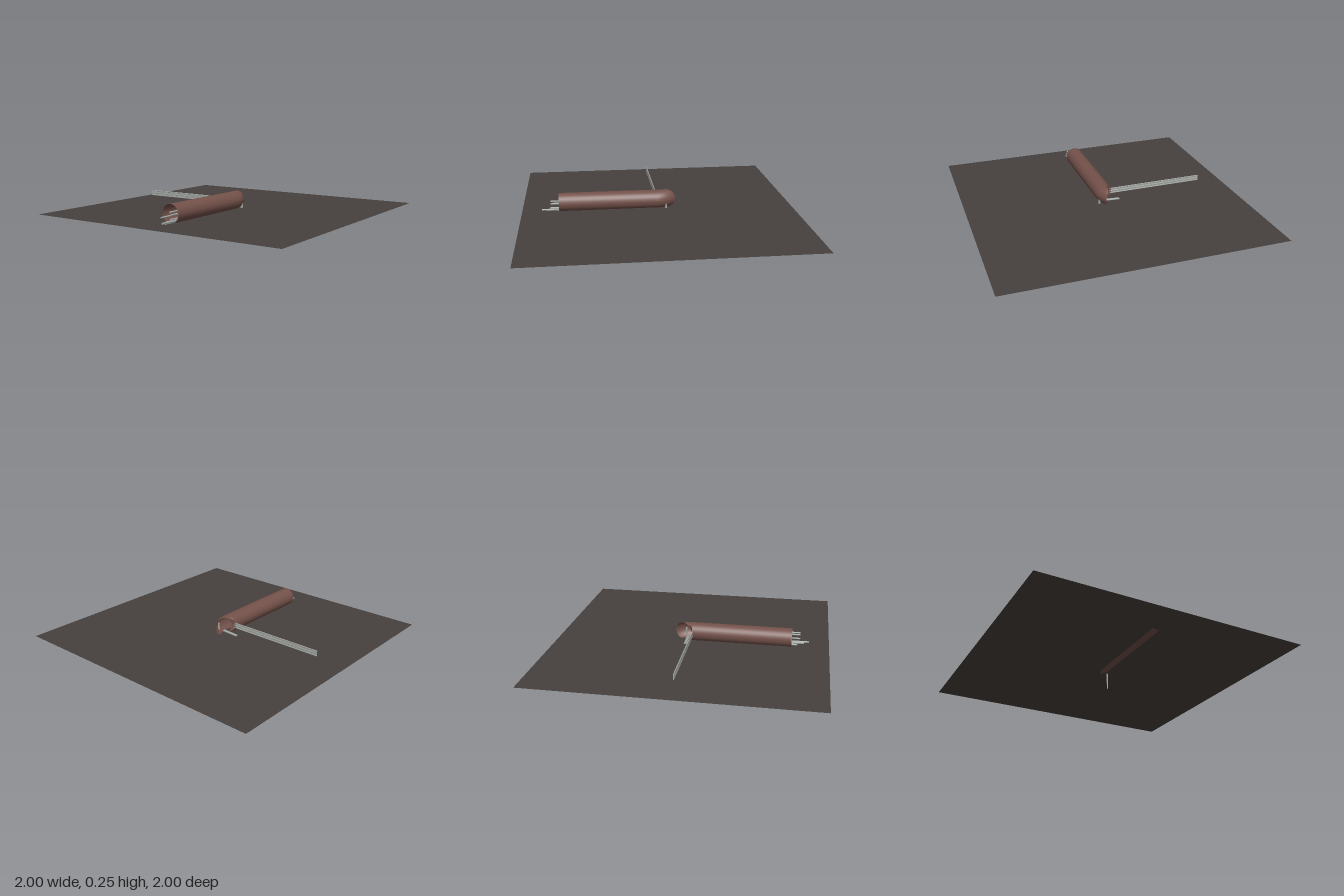
import * as THREE from 'three';

const mat = (color) => new THREE.MeshStandardMaterial({ color, side: THREE.DoubleSide });

export function createModel() {
  const group = new THREE.Group();
  const soil = mat(0x46413d), rust = mat(0x74514a), steel = mat(0xa4a8a4);
  const R = 0.067, CY = 0.191;

  const add = (name, geometry, material) => {
    const mesh = new THREE.Mesh(geometry, material);
    mesh.name = name;
    group.add(mesh);
    return mesh;
  };

  // thin rod between two points
  const rod = (name, a, b, radius) => {
    const p = new THREE.Vector3(...a), q = new THREE.Vector3(...b);
    const mesh = add(name, new THREE.CylinderGeometry(radius, radius, p.distanceTo(q), 8), steel);
    mesh.position.copy(p).add(q).multiplyScalar(0.5);
    mesh.quaternion.setFromUnitVectors(new THREE.Vector3(0, 1, 0), q.sub(p).normalize());
  };

  // flat ground sheet at the underside of the pipe
  const ground = add('ground', new THREE.PlaneGeometry(2, 2).rotateX(-Math.PI / 2), soil);
  ground.position.y = 0.13;

  // open pipe, ending in a sharp elbow that turns towards -x
  const rings = [[-0.01, 0.73, 0], [-0.01, 0, 0]];
  for (let i = 1; i <= 10; i++) {
    const t = i / 10;
    rings.push([-0.01 - 0.01 * t * t, -0.068 * t, 1.18 * t]);
  }
  const sides = 32, positions = [], index = [];
  rings.forEach(([x, z, turn], i) => {
    for (let j = 0; j <= sides; j++) {
      const a = (j / sides) * Math.PI * 2, c = R * Math.cos(a);
      positions.push(x + c * Math.cos(turn), CY + R * Math.sin(a), z - c * Math.sin(turn));
      if (i && j < sides) {
        const k = i * (sides + 1) + j, m = k - sides - 1;
        index.push(m, m + 1, k, m + 1, k + 1, k);
      }
    }
  });
  const pipe = new THREE.BufferGeometry();
  pipe.setAttribute('position', new THREE.Float32BufferAttribute(positions, 3));
  pipe.setIndex(index);
  pipe.computeVertexNormals();
  // wind the faces outward
  if (pipe.attributes.normal.getX(0) < 0) {
    pipe.setIndex(index.reverse());
    pipe.computeVertexNormals();
  }
  add('pipe', pipe, rust);

  // long flat blade leaving the elbow, with raised edges
  const blade = add('blade', new THREE.BoxGeometry(0.75, 0.036, 0.004), steel);
  blade.position.set(-0.42, 0.19, 0.006);
  for (const y of [0.172, 0.19, 0.208]) rod('bladeRib', [-0.795, y, 0.006], [-0.04, y, 0.004], 0.004);

  // loose strands sticking out of the open end: x, y, tip z, radius
  const strands = [
    [-0.048, 0.168, 0.78, 0.006], [-0.015, 0.138, 0.77, 0.007], [0, 0.142, 0.78, 0.007],
    [0.018, 0.14, 0.82, 0.008], [0.025, 0.147, 0.855, 0.007], [0.04, 0.165, 0.79, 0.006],
    [0.04, 0.195, 0.79, 0.006], [0.033, 0.213, 0.79, 0.006],
  ];
  for (const [x, y, z, r] of strands) rod('strand', [x, y, 0.55], [x, y, z], r);

  // short stub beside the elbow
  for (const z of [-0.045, -0.035]) rod('sideStub', [-0.125, 0.137, z], [0, 0.143, z], 0.006);

  // prongs hanging below the elbow
  rod('prong', [0.032, 0.004, -0.045], [0.032, 0.2, -0.06], 0.005);
  rod('prong', [0.042, 0.065, -0.068], [0.038, 0.2, -0.055], 0.005);
  return group;
}
